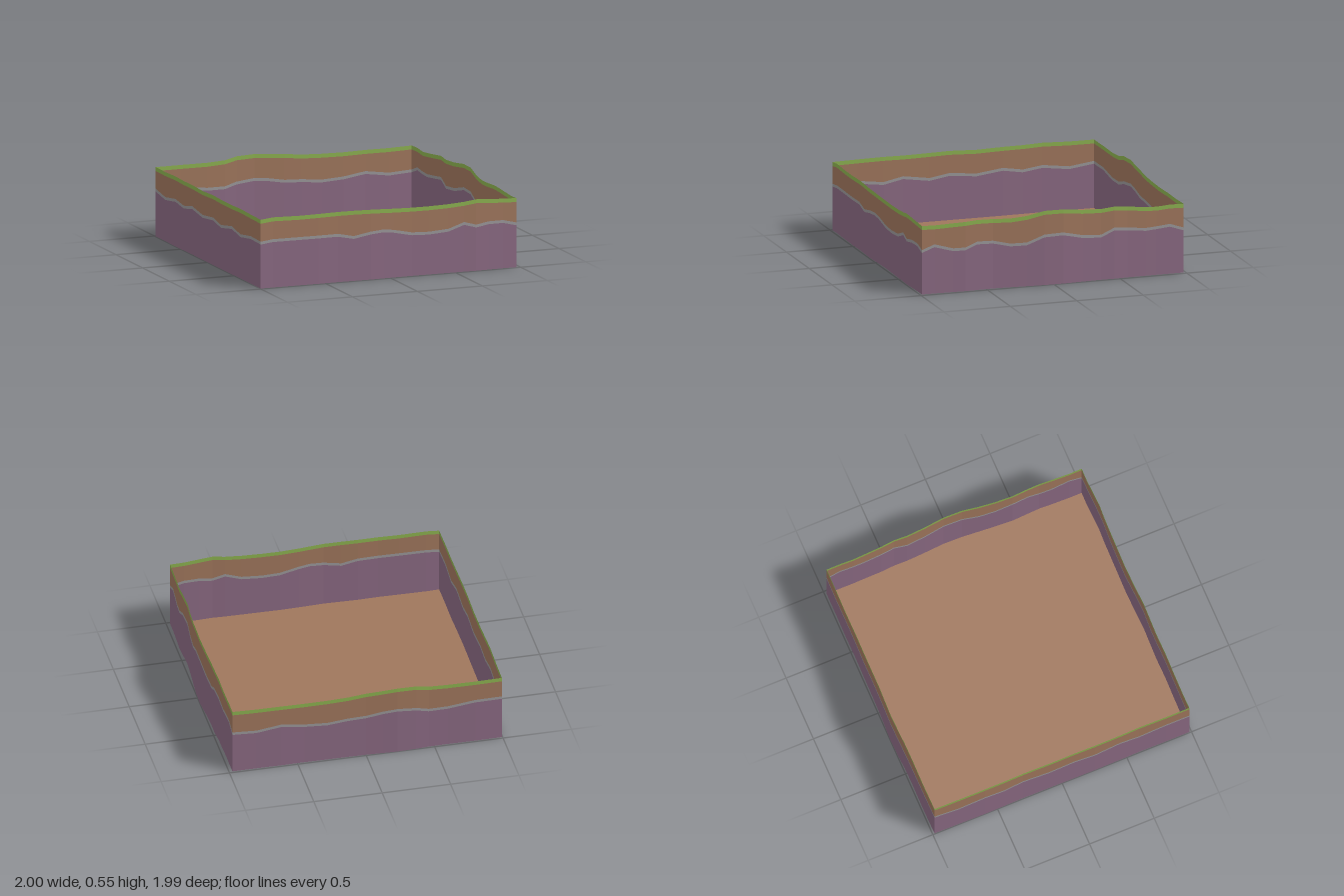
import * as THREE from 'three';

const mat = (name, color) => {
  const m = new THREE.MeshStandardMaterial({ color, side: THREE.DoubleSide });
  m.name = name;
  return m;
};

// Wall stations: [position along wall, outward position, rock height, grass top]
const FRONT = [
  [-0.995, 0.985, 0.32, 0.5], [-0.9, 0.982, 0.33, 0.51], [-0.7, 0.985, 0.33, 0.506], [-0.55, 0.988, 0.33, 0.508],
  [-0.4, 0.985, 0.33, 0.51], [-0.28, 0.988, 0.305, 0.51], [-0.15, 0.992, 0.328, 0.508], [-0.05, 0.988, 0.335, 0.504],
  [0.03, 0.985, 0.325, 0.5], [0.17, 0.982, 0.295, 0.496], [0.3, 0.984, 0.29, 0.496], [0.45, 0.986, 0.3, 0.5],
  [0.57, 0.988, 0.34, 0.508], [0.66, 0.992, 0.315, 0.52], [0.76, 0.988, 0.33, 0.514], [0.87, 0.984, 0.33, 0.506],
  [0.972, 0.985, 0.305, 0.503],
];
const RIGHT = [
  [0.985, 0.972, 0.305, 0.503], [0.89, 0.972, 0.34, 0.5], [0.75, 0.976, 0.3, 0.505], [0.66, 0.98, 0.3, 0.508],
  [0.57, 0.976, 0.335, 0.514], [0.45, 0.97, 0.33, 0.51], [0.32, 0.978, 0.3, 0.505], [0.2, 0.987, 0.3, 0.516],
  [0.07, 0.997, 0.35, 0.545], [-0.07, 1, 0.355, 0.545], [-0.22, 0.99, 0.32, 0.527], [-0.36, 0.983, 0.31, 0.52],
  [-0.46, 0.985, 0.355, 0.53], [-0.56, 0.978, 0.345, 0.52], [-0.7, 0.976, 0.33, 0.505], [-0.78, 0.974, 0.335, 0.5],
  [-0.88, 0.975, 0.345, 0.508], [-0.985, 0.975, 0.31, 0.505],
];
const BACK = [
  [0.975, 0.985, 0.31, 0.505], [0.8, 0.985, 0.3, 0.5], [0.62, 0.987, 0.325, 0.5], [0.45, 0.985, 0.3, 0.497],
  [0.28, 0.987, 0.29, 0.499], [0.13, 0.988, 0.305, 0.505], [0, 0.99, 0.31, 0.519], [-0.12, 0.995, 0.33, 0.526],
  [-0.23, 1, 0.34, 0.535], [-0.37, 0.995, 0.325, 0.53], [-0.46, 0.988, 0.3, 0.51], [-0.6, 0.986, 0.3, 0.503],
  [-0.8, 0.988, 0.325, 0.503], [-0.995, 0.985, 0.325, 0.503],
];
const LEFT = [
  [-0.985, 0.995, 0.325, 0.503], [-0.8, 0.997, 0.3, 0.503], [-0.6, 1, 0.325, 0.51], [-0.45, 0.998, 0.305, 0.505],
  [-0.3, 0.995, 0.33, 0.505], [-0.1, 0.996, 0.305, 0.5], [0.1, 0.998, 0.325, 0.508], [0.25, 0.999, 0.3, 0.505],
  [0.45, 0.997, 0.33, 0.503], [0.6, 0.994, 0.3, 0.506], [0.8, 0.996, 0.325, 0.503], [0.985, 0.995, 0.32, 0.5],
];

// Upright strip between two height rules, following a wall outline
function strip(stations, lower, upper) {
  const pos = [];
  for (let i = 0; i + 1 < stations.length; i++) {
    const a = stations[i], b = stations[i + 1];
    const p = (s, h) => [s.x, h(s), s.z];
    pos.push(...p(a, lower), ...p(b, lower), ...p(b, upper));
    pos.push(...p(a, lower), ...p(b, upper), ...p(a, upper));
  }
  const g = new THREE.BufferGeometry();
  g.setAttribute('position', new THREE.Float32BufferAttribute(pos, 3));
  g.computeVertexNormals();
  return g;
}

export function createModel() {
  const model = new THREE.Group();
  model.name = 'terrainTray';
  const soil = mat('soil brown', 0x9f765c);
  const rock = mat('rock purple', 0x8a6982);
  const gravel = mat('gravel grey', 0x999698);
  const grass = mat('grass green', 0x8bb04f);

  // Layers from the ground up
  const layers = [
    ['rockLayer', rock, () => 0, s => s.rock],
    ['gravelSeam', gravel, s => s.rock, s => s.rock + 0.021],
    ['soilLayer', soil, s => s.rock + 0.021, s => s.top - 0.029],
    ['grassEdge', grass, s => s.top - 0.029, s => s.top],
  ];

  // Four layered walls, in order around the tray
  const walls = [
    ['frontWall', FRONT, (a, o) => [a, o]],
    ['sideWallPlusX', RIGHT, (a, o) => [o, a]],
    ['backWall', BACK, (a, o) => [a, -o]],
    ['sideWallMinusX', LEFT, (a, o) => [-o, a]],
  ];
  const outline = [];
  for (const [name, rows, place] of walls) {
    const stations = rows.map(([along, out, rockTop, top]) => {
      const [x, z] = place(along, out);
      return { x, z, rock: rockTop, top };
    });
    const wall = new THREE.Group();
    wall.name = name;
    for (const [part, material, lower, upper] of layers) {
      const mesh = new THREE.Mesh(strip(stations, lower, upper), material);
      mesh.name = part;
      wall.add(mesh);
    }
    model.add(wall);
    outline.push(...stations.slice(0, -1).map(s => new THREE.Vector2(s.x, -s.z)));
  }

  // Flat floor filling the wall outline
  const floor = new THREE.Mesh(new THREE.ShapeGeometry(new THREE.Shape(outline)), soil);
  floor.rotation.x = -Math.PI / 2;
  floor.name = 'floor';
  model.add(floor);
  return model;
}
